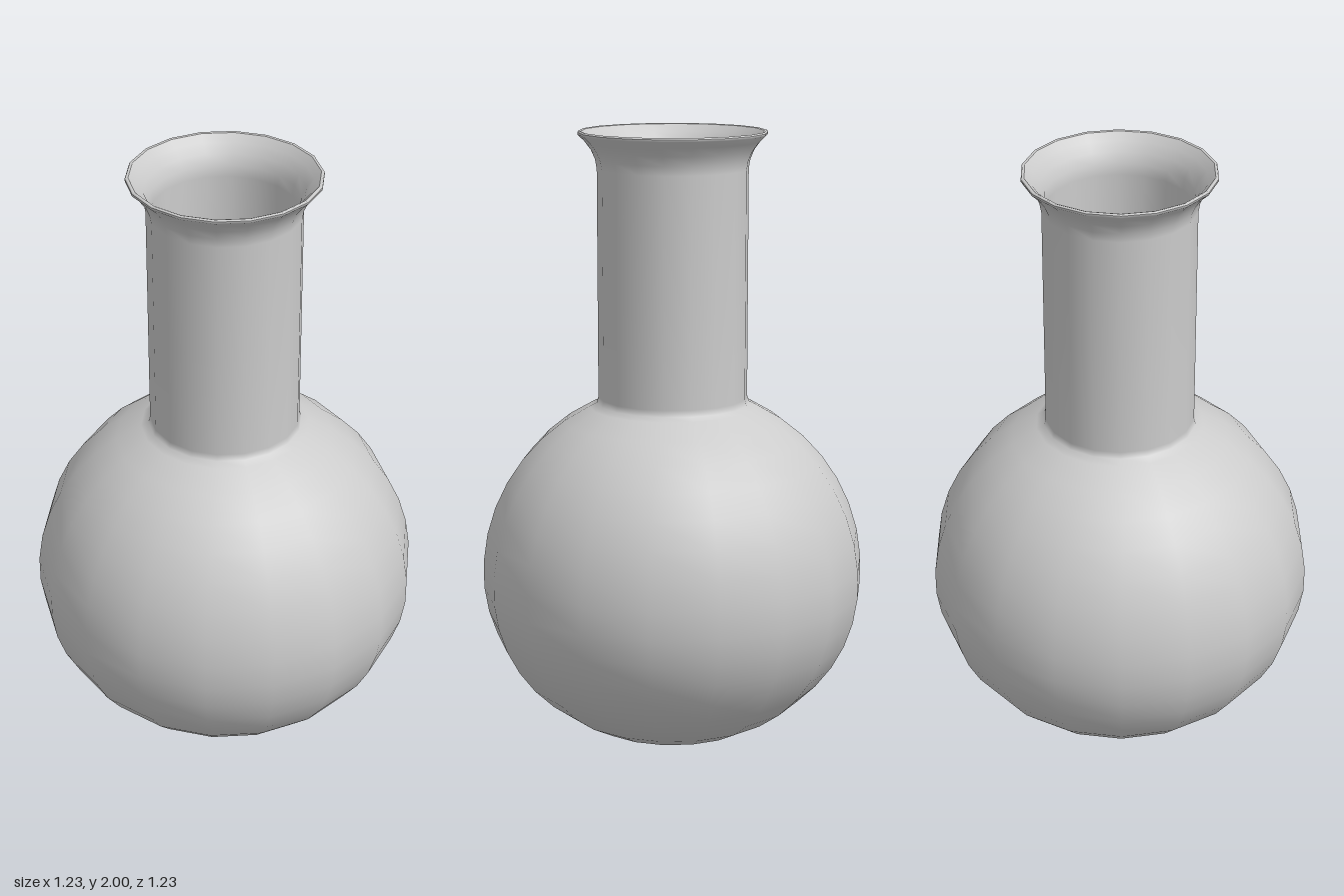
import * as THREE from 'three';

const SIDES = 18;
const TURN = THREE.MathUtils.degToRad(13);

// Turns a profile of [radius, height] pairs, bottom to top for outward faces
function turned(name, profile, material) {
  const points = profile.map(([r, y]) => new THREE.Vector2(r, y));
  const mesh = new THREE.Mesh(new THREE.LatheGeometry(points, SIDES, TURN), material);
  mesh.name = name;
  return mesh;
}

// Round bowl from the bottom pole up to the neck, slightly flattened below
function bowlProfile(inset, neckRadius, steps) {
  const centre = 0.56, radius = 0.62 - inset, depth = 0.558 - inset;
  const end = Math.PI - Math.asin(neckRadius / radius);
  const profile = [];
  for (let i = 0; i <= steps; i++) {
    const a = (end * i) / steps;
    const height = a < Math.PI / 2 ? depth : radius;
    profile.push([radius * Math.sin(a), centre - height * Math.cos(a)]);
  }
  return profile;
}

export function createModel() {
  const flask = new THREE.Group();
  flask.name = 'flask';
  const glass = new THREE.MeshStandardMaterial({ color: 0xcccccc, side: THREE.DoubleSide });

  // Outer wall: bowl, small fillet, neck and flared lip
  flask.add(turned('outerWall', [
    ...bowlProfile(0, 0.27, 18),
    [0.246, 1.13], [0.24, 1.15], [0.24, 1.5], [0.24, 1.88],
    [0.245, 1.91], [0.258, 1.94], [0.279, 1.968], [0.3, 1.988], [0.3, 1.995],
  ], glass));

  // Rounded rim joining both walls
  flask.add(turned('rim', [[0.3, 1.995], [0.297, 2], [0.29, 1.998]], glass));

  // Inner wall, running back down from the rim
  flask.add(turned('innerWall', [
    ...bowlProfile(0.015, 0.25, 18).slice(1),
    [0.23, 1.13], [0.225, 1.15], [0.225, 1.5], [0.225, 1.88],
    [0.231, 1.915], [0.246, 1.948], [0.268, 1.976], [0.29, 1.998],
  ].reverse(), glass));

  // Small raised disc on the inside floor
  const disc = new THREE.Mesh(new THREE.CylinderGeometry(0.05, 0.05, 0.012, SIDES), glass);
  disc.name = 'floorDisc';
  disc.position.y = 0.018;
  flask.add(disc);

  return flask;
}
